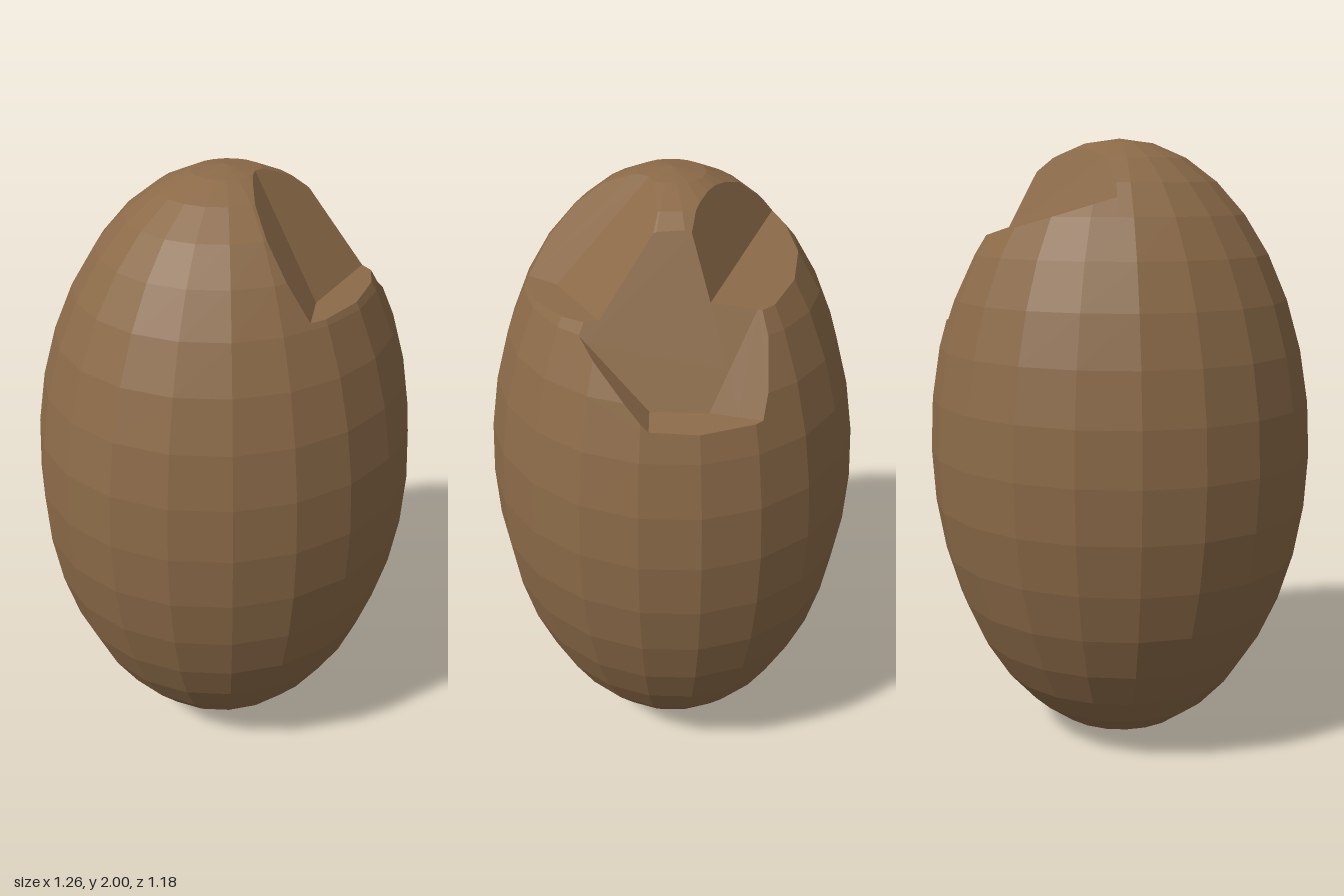
import * as THREE from 'three';

const V = (x, y, z) => new THREE.Vector3(x, y, z);

// Cut a convex polygon by a plane into [front, back] pieces
function split(poly, plane) {
  const front = [], back = [];
  poly.forEach((a, i) => {
    const b = poly[(i + 1) % poly.length];
    const da = plane.distanceToPoint(a), db = plane.distanceToPoint(b);
    if (da >= 0) front.push(a);
    if (da <= 0) back.push(a);
    if (da * db < 0) {
      const p = a.clone().lerp(b, da / (da - db));
      front.push(p);
      back.push(p);
    }
  });
  return [front, back];
}

// Pieces of a polygon that lie outside a notch (a convex set of planes)
function outside(poly, notch) {
  const kept = [];
  let rest = poly;
  for (const plane of notch) {
    if (rest.length < 3) break;
    const [front, back] = split(rest, plane);
    if (back.length > 2) kept.push(back);
    rest = front;
  }
  return rest.length > 2 ? kept : [poly];
}

// Planes through point triples, all facing the given open-side point
function makeNotch(open, triples) {
  return triples.map((t) => {
    const plane = new THREE.Plane().setFromCoplanarPoints(...t.map((p) => V(...p)));
    return plane.distanceToPoint(V(...open)) < 0 ? plane.negate() : plane;
  });
}

// Large square lying on a plane, facing along its normal
function planeSquare(plane) {
  const n = plane.normal;
  const c = plane.projectPoint(V(0, 1.5, 0), V(0, 0, 0));
  const u = V(0.31, 0.52, 0.79).cross(n).normalize().multiplyScalar(3);
  const w = n.clone().cross(u);
  return [[1, 1], [-1, 1], [-1, -1], [1, -1]].map(([a, b]) =>
    c.clone().addScaledVector(u, a).addScaledVector(w, b));
}

// Faceted egg-shaped body
function shellFaces(sides, rings) {
  const at = (i, j) => {
    const a = (i % sides) / sides * Math.PI * 2, b = j / rings * Math.PI;
    const r = j === 0 || j === rings ? 0 : Math.sin(b);
    return V(0.63 * r * Math.sin(a), 1 - Math.cos(b), 0.59 * r * Math.cos(a));
  };
  const faces = [];
  for (let j = 0; j < rings; j++) {
    for (let i = 0; i < sides; i++) {
      if (j === 0) faces.push([at(i, 0), at(i + 1, 1), at(i, 1)]);
      else if (j === rings - 1) faces.push([at(i, j), at(i + 1, j), at(i, rings)]);
      else faces.push([at(i, j), at(i + 1, j), at(i + 1, j + 1), at(i, j + 1)]);
    }
  }
  return faces;
}

export function createModel() {
  const shell = shellFaces(20, 18);
  const hull = shell.map((f) => new THREE.Plane().setFromCoplanarPoints(f[0], f[1], f[2]));

  const notches = [
    // Front chip: sloping floor, ledge, side wall
    makeNotch([0.3, 2, 0.6], [
      [[0.05, 1.99, 0.07], [0.045, 1.67, 0.35], [0.37, 1.68, 0.24]],
      [[0, 1.66, 0.43], [0.37, 1.68, 0.24], [0, 1.67, 0.3]],
      [[0.05, 1.99, 0.07], [0.045, 1.67, 0.35], [-0.07, 1.83, 0.3]],
    ]),
    // Side chip: two floor facets, ledge, bevelled corner
    makeNotch([0.8, 1.8, 0], [
      [[0.53, 1.43, -0.2], [0.48, 1.44, -0.04], [0.34, 1.76, -0.16]],
      [[0.48, 1.44, -0.04], [0.46, 1.44, 0.12], [0.3, 1.83, -0.02]],
      [[0.53, 1.43, -0.2], [0.54, 1.43, 0.14], [0.46, 1.445, 0.12]],
      [[0.54, 1.43, 0.14], [0.43, 1.57, 0.26], [0.45, 1.45, 0.13]],
    ]),
    // Rear chip: wall and ledge
    makeNotch([0.4, 2, -0.5], [
      [[-0.07, 1.83, -0.32], [0.19, 1.93, -0.06], [0.15, 1.75, -0.2]],
      [[0.18, 1.75, -0.35], [0.4, 1.7, -0.18], [0.2, 1.76, -0.15]],
    ]),
  ];

  // Outer shell with the chips removed
  let faces = shell;
  for (const notch of notches) faces = faces.flatMap((f) => outside(f, notch));

  // Inner surfaces of the chips
  notches.forEach((notch) => notch.forEach((plane) => {
    let poly = planeSquare(plane);
    for (const other of notch) if (other !== plane) poly = split(poly, other)[0];
    for (const side of hull) poly = split(poly, side)[1];
    if (poly.length < 3) return;
    let pieces = [poly];
    for (const n of notches) if (n !== notch) pieces = pieces.flatMap((f) => outside(f, n));
    faces.push(...pieces);
  }));

  // Fan each polygon into triangles
  const points = [];
  for (const f of faces) {
    for (let i = 1; i < f.length - 1; i++) points.push(f[0], f[i], f[i + 1]);
  }
  const geometry = new THREE.BufferGeometry().setFromPoints(points);
  geometry.computeVertexNormals();

  const brown = new THREE.MeshStandardMaterial({ color: 0x8b6a48, flatShading: true });
  brown.name = 'huskBrown';
  const husk = new THREE.Mesh(geometry, brown);
  husk.name = 'chippedHusk';

  const group = new THREE.Group();
  group.name = 'chippedEggShape';
  group.add(husk);
  return group;
}
